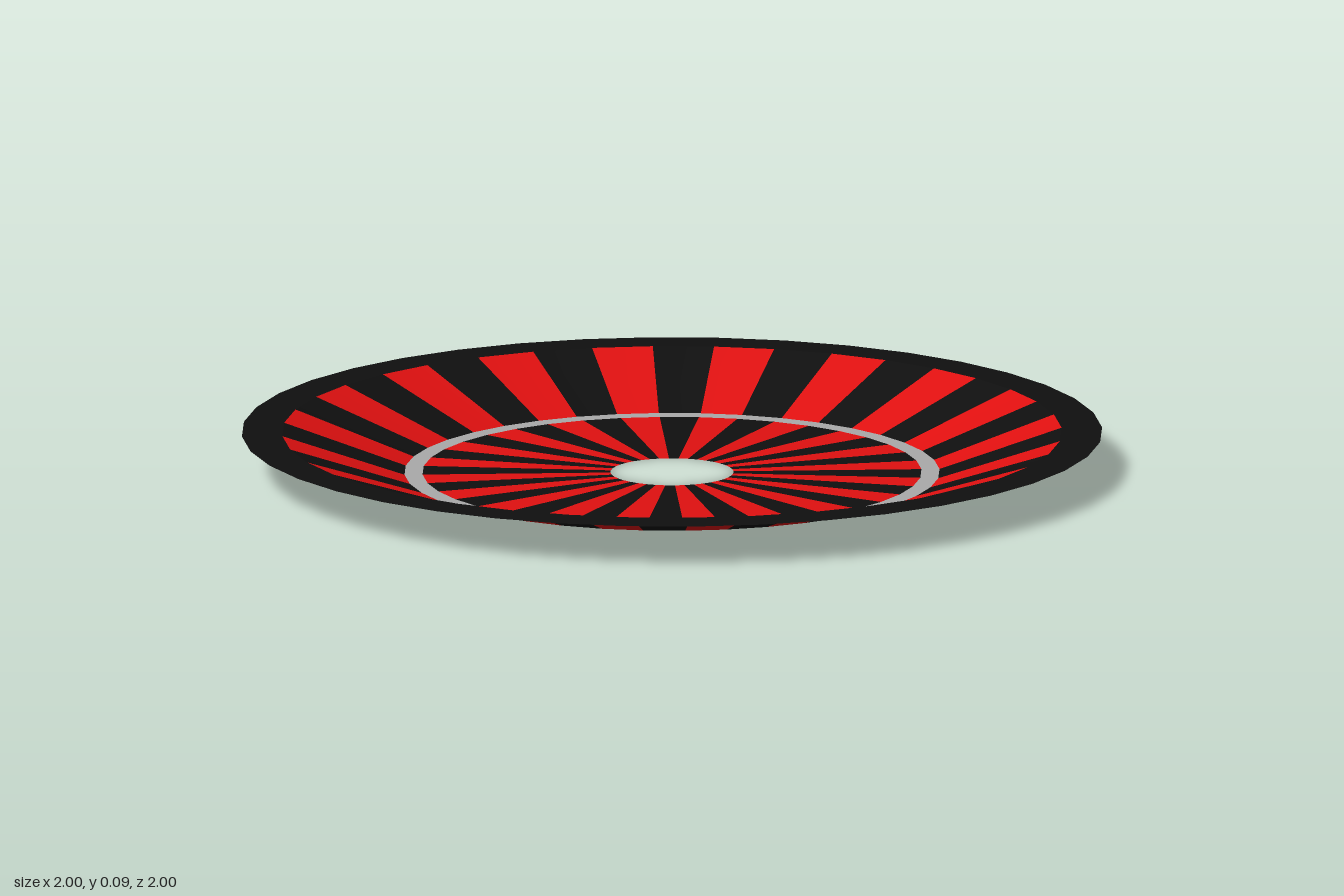
import * as THREE from 'three';
import { mergeGeometries } from 'three/addons/utils/BufferGeometryUtils.js';

const SECTORS = 40;
const STEP = (Math.PI * 2) / SECTORS;
const HEIGHT = 0.095;

function material(name, color) {
  const m = new THREE.MeshStandardMaterial({ color, side: THREE.DoubleSide });
  m.name = name;
  return m;
}

// Thin band from an inner to an outer [radius, y], listed outer first so it faces up
function band(inner, outer, start = 0, count = SECTORS) {
  const profile = [new THREE.Vector2(...outer), new THREE.Vector2(...inner)];
  return new THREE.LatheGeometry(profile, count, start * STEP, count * STEP);
}

// Every second sector of a band; parity 0 or 1 picks which
function stripes(inner, outer, parity) {
  const parts = [];
  for (let i = parity; i < SECTORS; i += 2) parts.push(band(inner, outer, i, 1));
  return mergeGeometries(parts);
}

export function createModel() {
  const group = new THREE.Group();
  group.name = 'stripedDish';
  const black = material('black', 0x0f0f0f);
  const red = material('red', 0xe01010);
  const grey = material('grey', 0xaaaaaa);

  const add = (name, geometry, mat) => {
    const mesh = new THREE.Mesh(geometry, mat);
    mesh.name = name;
    group.add(mesh);
  };

  // Flat floor around the central hole, then the sloping wall, both striped
  const floor = [[0.143, 0], [0.58, 0]];
  const wall = [[0.622, 0], [0.906, HEIGHT]];
  [black, red].forEach((mat, parity) => {
    add(mat.name + 'FloorStripes', stripes(...floor, parity), mat);
    add(mat.name + 'WallStripes', stripes(...wall, parity), mat);
  });

  // Plain ring between floor and wall, and the flat outer rim
  add('greyRing', band([0.58, 0], [0.622, 0]), grey);
  add('outerRim', band([0.906, HEIGHT], [1, HEIGHT]), black);
  return group;
}
